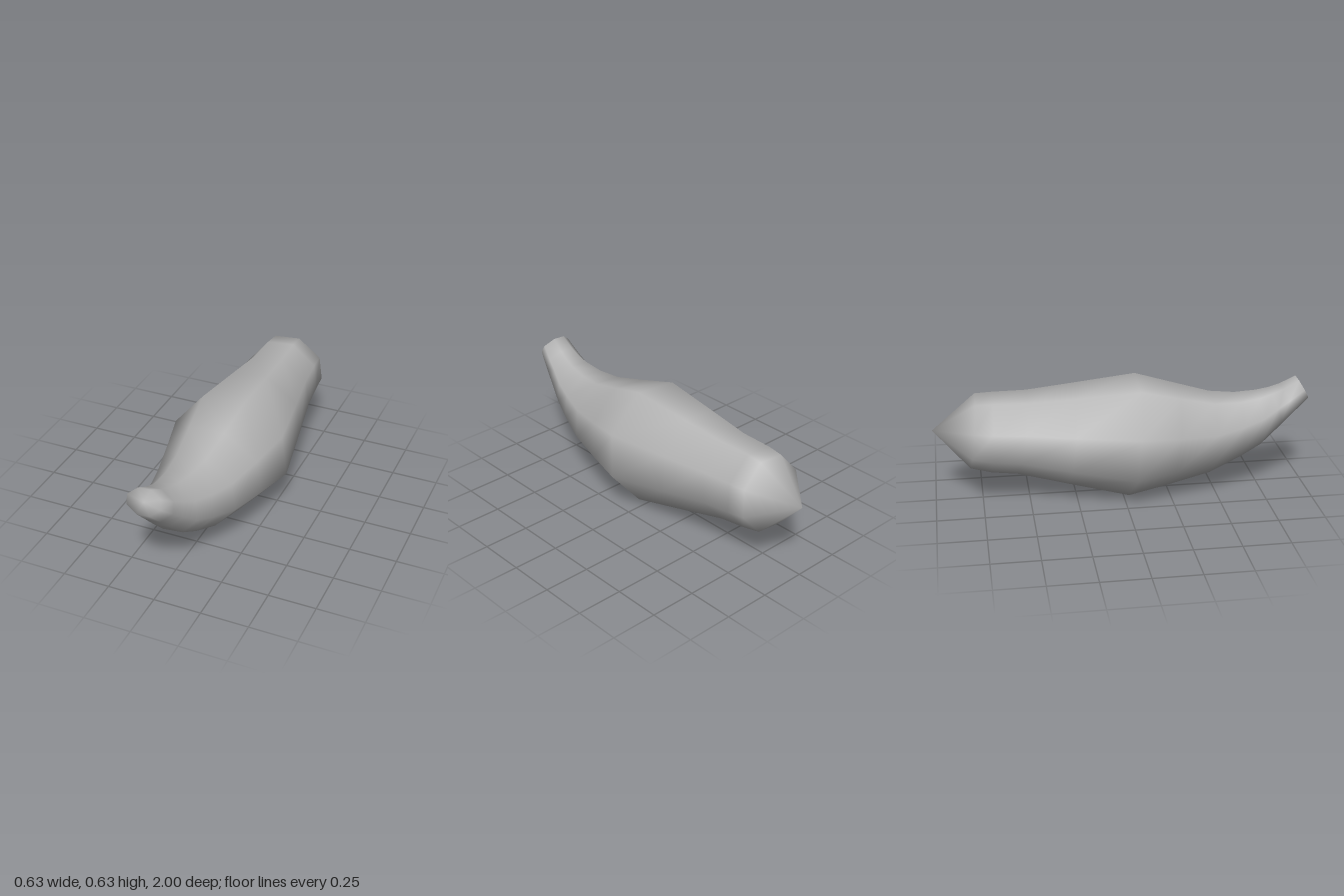
import * as THREE from 'three';

export function createModel() {
  const group = new THREE.Group();
  const grey = new THREE.MeshStandardMaterial({ color: 0xb4b4b4 });
  grey.name = 'plain grey';

  // Tilted cross-sections, tail to nose: [topZ, topY, bottomZ, bottomY, minX, maxX]
  const rings = [
    [-0.77, 0.575, -0.81, 0.195, -0.18, 0.205],
    [-0.68, 0.58, -0.70, 0.168, -0.195, 0.208],
    [-0.50, 0.58, -0.56, 0.152, -0.208, 0.222],
    [-0.25, 0.603, -0.30, 0.085, -0.257, 0.264],
    [0.085, 0.635, 0.03, 0.002, -0.317, 0.317],
    [0.30, 0.575, 0.245, 0.045, -0.267, 0.262],
    [0.485, 0.525, 0.475, 0.10, -0.222, 0.208],
    [0.62, 0.517, 0.645, 0.18, -0.186, 0.16],
    [0.735, 0.53, 0.755, 0.245, -0.162, 0.122],
    [0.80, 0.547, 0.86, 0.35, -0.146, 0.092],
    [0.86, 0.57, 0.925, 0.42, -0.141, 0.072],
    [0.94, 0.615, 1.0, 0.50, -0.136, 0.046],
  ];
  // Slightly twisted octagon
  const half = [-16, 26.2, 74, 116.5];
  const angles = [...half, ...half.map((a) => a + 180)].map(THREE.MathUtils.degToRad);
  const sides = angles.length;

  const positions = [];
  const index = [];
  for (const [tz, ty, bz, by, x0, x1] of rings) {
    for (const a of angles) {
      const u = Math.cos(a) / Math.cos(angles[0]);
      const v = Math.sin(a) / Math.sin(angles[2]);
      positions.push(
        (x0 + x1) / 2 + (u * (x1 - x0)) / 2,
        (ty + by) / 2 + (v * (ty - by)) / 2,
        (tz + bz) / 2 + (v * (tz - bz)) / 2,
      );
    }
  }

  // Pointed tail and blunt nose
  const tail = positions.length / 3;
  const nose = tail + 1;
  positions.push(0.012, 0.4, -1, -0.045, 0.557, 0.972);
  const last = (rings.length - 1) * sides;

  for (let j = 0; j < sides; j++) {
    const k = (j + 1) % sides;
    for (let i = 0; i < last; i += sides) {
      index.push(i + j, i + k, i + sides + j, i + k, i + sides + k, i + sides + j);
    }
    index.push(tail, k, j, nose, last + j, last + k);
  }

  const geometry = new THREE.BufferGeometry();
  geometry.setAttribute('position', new THREE.Float32BufferAttribute(positions, 3));
  geometry.setIndex(index);
  geometry.computeVertexNormals();

  const body = new THREE.Mesh(geometry, grey);
  body.name = 'curvedBody';
  group.add(body);
  return group;
}
